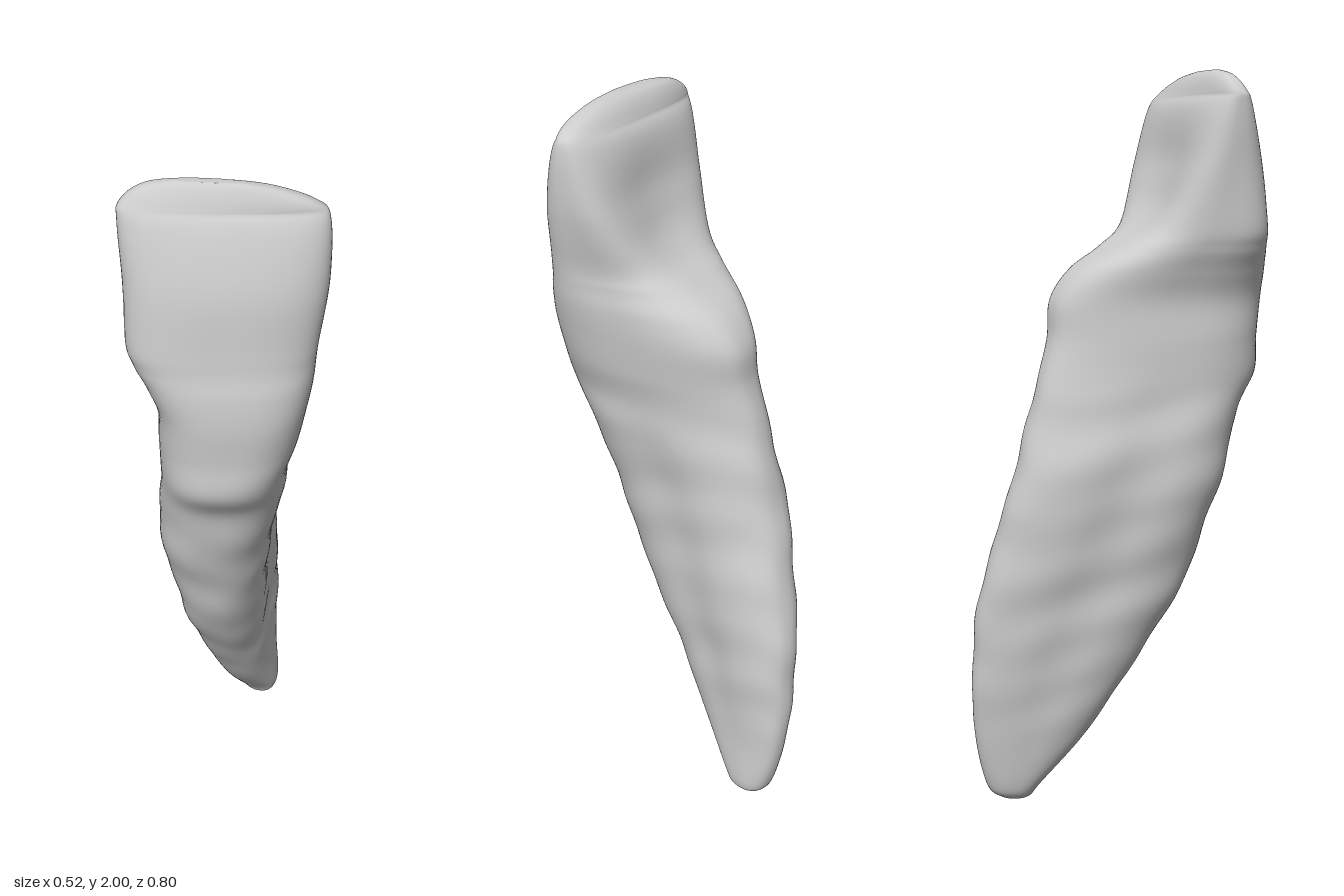
import * as THREE from 'three';

// Bounds of the cross-sections from root tip to biting edge: [y, xMin, xMax, zMin, zMax]
const SECTIONS = [
  [0.00, -0.10, -0.075, -0.30, -0.27],
  [0.01, -0.125, -0.05, -0.33, -0.24],
  [0.05, -0.152, -0.035, -0.365, -0.21],
  [0.20, -0.178, -0.028, -0.393, -0.08],
  [0.40, -0.207, -0.005, -0.397, 0.05],
  [0.60, -0.23, 0.03, -0.375, 0.175],
  [0.80, -0.25, 0.065, -0.318, 0.25],
  [0.95, -0.255, 0.098, -0.275, 0.30],
  [1.10, -0.23, 0.14, -0.235, 0.335],
  [1.20, -0.215, 0.165, -0.21, 0.383],
  [1.30, -0.205, 0.195, -0.186, 0.387],
  [1.40, -0.20, 0.218, -0.178, 0.395],
  [1.48, -0.208, 0.232, -0.125, 0.40],
  [1.54, -0.215, 0.237, -0.04, 0.40],
  [1.60, -0.22, 0.243, 0.02, 0.40],
  [1.75, -0.226, 0.26, 0.06, 0.383],
  [1.90, -0.225, 0.255, 0.10, 0.35],
  [1.95, -0.213, 0.225, 0.135, 0.328],
  [1.985, -0.165, 0.14, 0.18, 0.30],
  [2.00, -0.09, 0.05, 0.222, 0.272],
];
const SIDES = 80, STEPS = 8;
const ramp = THREE.MathUtils.smoothstep;

// Smooth blend of neighbouring sections
function sectionAt(s) {
  const last = SECTIONS.length - 1;
  const i = Math.min(Math.floor(s), last - 1), t = s - i;
  const row = (k) => SECTIONS[Math.max(0, Math.min(last, k))];
  const [a, b, c, d] = [row(i - 1), row(i), row(i + 1), row(i + 2)];
  return b.map((v, k) => {
    let m0 = (c[k] - a[k]) / 2, m1 = (d[k] - v) / 2;
    // limit slopes in height so rings never fold over
    if (k === 0) {
      m0 = Math.min(m0, 2.5 * (c[0] - v));
      m1 = Math.min(m1, 2.5 * (c[0] - v));
    }
    const t2 = t * t, t3 = t2 * t;
    return v * (2 * t3 - 3 * t2 + 1) + m0 * (t3 - 2 * t2 + t)
      + c[k] * (3 * t2 - 2 * t3) + m1 * (t3 - t2);
  });
}

// Turned oval with a hollow back and grooved flanks, drawn within its bounds
function ring([y, x0, x1, z0, z1]) {
  const turn = 0.12 + 0.28 * ramp(y, 0.3, 1.5);
  const taper = 0.1 + 0.2 * ramp(y, 0.6, 1.4) - 0.27 * ramp(y, 1.45, 1.8);
  const hollow = 0.35 * ramp(y, 1.5, 1.68) * (1 - ramp(y, 1.75, 1.97));
  const groove = 0.12 * ramp(y, 0.1, 0.5) * (1 - ramp(y, 0.9, 1.3));
  const power = 0.85 - 0.13 * ramp(y, 1.2, 1.45);
  // faint uneven ripples on the root only
  const ripple = 0.0018 * ramp(y, 0.15, 0.4) * (1 - ramp(y, 1.1, 1.3));

  // depth of the oval that gives these bounds once it is turned
  const ratio2 = ((z1 - z0) / (x1 - x0)) ** 2;
  const c2 = Math.cos(turn) ** 2, s2 = Math.sin(turn) ** 2;
  const depth = Math.sqrt(Math.max(0.05, (ratio2 * c2 - s2) / (c2 - ratio2 * s2)));

  const round = (v) => Math.sign(v) * Math.abs(v) ** power;
  const box = new THREE.Box2(), pts = [];
  for (let j = 0; j < SIDES; j++) {
    const a = (j / SIDES) * Math.PI * 2;
    const u = round(Math.cos(a)), v = round(Math.sin(a));
    const lx = u * (1 + taper * v) * (1 - groove * Math.exp(-((v / 0.35) ** 2)));
    let lz = depth * v;
    if (v < 0) lz += hollow * depth * (1 - u * u) ** 1.5;
    const p = new THREE.Vector2(
      lx * Math.cos(turn) + lz * Math.sin(turn),
      lz * Math.cos(turn) - lx * Math.sin(turn));
    box.expandByPoint(p);
    pts.push(p);
  }
  const size = box.getSize(new THREE.Vector2());
  return pts.map((p, j) => {
    const a = (j / SIDES) * Math.PI * 2;
    const r = ripple * (Math.sin(y * 38 + 2 * Math.sin(a * 2)) + Math.sin(y * 23 + a * 3));
    return [
      x0 + (p.x - box.min.x) / size.x * (x1 - x0) + r * Math.cos(a),
      y,
      z0 + (p.y - box.min.y) / size.y * (z1 - z0) + r * Math.sin(a),
    ];
  });
}

function loft() {
  const pos = [], idx = [], rings = (SECTIONS.length - 1) * STEPS + 1;
  for (let i = 0; i < rings; i++) pos.push(...ring(sectionAt(i / STEPS)).flat());
  for (let i = 0; i < rings - 1; i++) {
    for (let j = 0; j < SIDES; j++) {
      const a = i * SIDES + j, b = i * SIDES + (j + 1) % SIDES;
      const c = a + SIDES, d = b + SIDES;
      idx.push(a, c, b, b, c, d);
    }
  }
  // close the root tip and the biting edge
  for (const top of [false, true]) {
    const [y, x0, x1, z0, z1] = SECTIONS.at(top ? -1 : 0);
    const start = top ? (rings - 1) * SIDES : 0;
    const centre = pos.length / 3;
    pos.push((x0 + x1) / 2, y, (z0 + z1) / 2);
    for (let j = 0; j < SIDES; j++) {
      const a = start + j, b = start + (j + 1) % SIDES;
      if (top) idx.push(centre, b, a);
      else idx.push(centre, a, b);
    }
  }
  const geo = new THREE.BufferGeometry();
  geo.setAttribute('position', new THREE.Float32BufferAttribute(pos, 3));
  geo.setIndex(idx);
  geo.computeVertexNormals();
  return geo;
}

export function createModel() {
  const group = new THREE.Group();
  group.name = 'incisorTooth';
  const tooth = new THREE.Mesh(loft(), new THREE.MeshStandardMaterial({ color: 0xcccccc }));
  tooth.name = 'crownAndRoot';
  group.add(tooth);
  return group;
}
